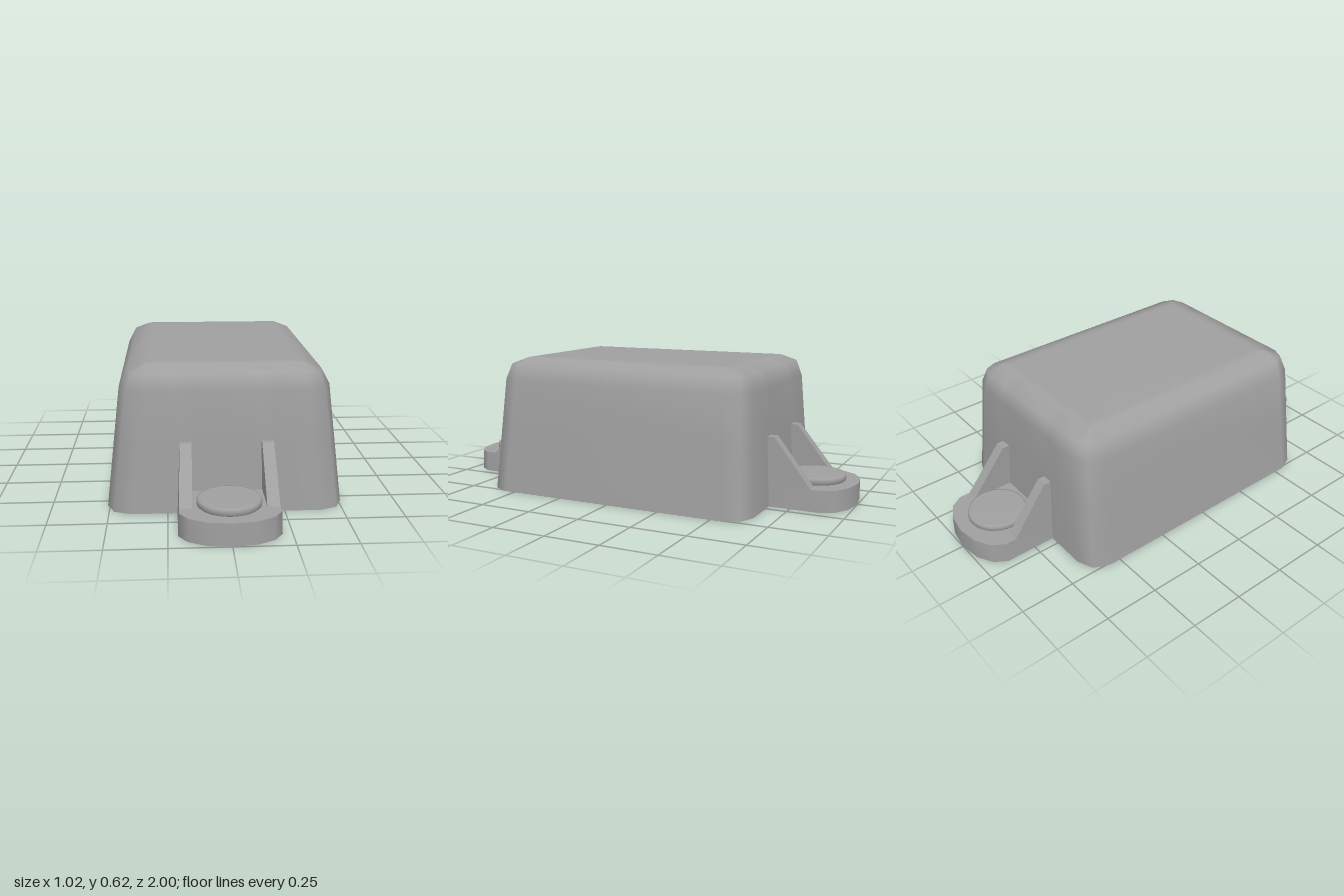
import * as THREE from 'three';
import { toCreasedNormals } from 'three/addons/utils/BufferGeometryUtils.js';

const material = new THREE.MeshStandardMaterial({ color: 0xa0a0a0, side: THREE.DoubleSide });

// Tapering half width and half depth of the cover at height y
const halfX = (y) => 0.51 - 0.114 * y;
const halfZ = (y) => 0.655 - 0.057 * y;

function mesh(name, geometry) {
  const m = new THREE.Mesh(geometry, material);
  m.name = name;
  return m;
}

// Surface through rows of points, with optional closing and open cells
function surface(rows, closed = false, skip = () => false) {
  const n = rows[0].length;
  const index = [];
  for (let i = 0; i < rows.length - 1; i++) {
    for (let j = 0; j < (closed ? n : n - 1); j++) {
      if (skip(i, j)) continue;
      const k = (j + 1) % n;
      const a = i * n + j, b = i * n + k, c = b + n, d = a + n;
      index.push(a, d, c, a, c, b);
    }
  }
  const g = new THREE.BufferGeometry();
  g.setAttribute('position', new THREE.Float32BufferAttribute(rows.flat(2), 3));
  g.setIndex(index);
  g.computeVertexNormals();
  return g;
}

// Rounded rectangle at height y; also has points at the rib edges (xo, xi)
function ring(y, hx, hz, r, xo = 0.2, xi = 0.15) {
  const pts = [];
  const corner = (sx, sz, start) => {
    for (let k = 0; k < 3; k++) {
      const a = start + (k * Math.PI) / 4;
      pts.push([sx * (hx - r) + r * Math.cos(a), y, sz * (hz - r) + r * Math.sin(a)]);
    }
  };
  corner(1, 1, 0);
  for (const x of [xo, xi, -xi, -xo]) pts.push([x, y, hz]);
  corner(-1, 1, Math.PI / 2);
  corner(-1, -1, Math.PI);
  for (const x of [-xo, -xi, xi, xo]) pts.push([x, y, -hz]);
  corner(1, -1, 1.5 * Math.PI);
  return pts;
}

// Open-bottomed cover, cut away where the hollow tabs and ribs join it
function cover() {
  const wall = [[0, 0.21], [0.097, 0.205], [0.312, 0.197], [0.525, 0.197]];
  const rows = wall.map(([y, xo]) => ring(y, halfX(y), halfZ(y), 0.105, xo));
  rows.push(ring(0.595, 0.413, 0.6, 0.075));
  rows.push(ring(0.624, 0.34, 0.52, 0.004));
  // Inset ring keeps the shading of the top flat
  rows.push(ring(0.625, 0.31, 0.49, 0.002));
  rows.push(ring(0.625, 0, 0, 0, 0, 0));
  const skip = (i, j) => {
    const c = (j % 10) - 3;
    return (i === 0 && c >= 0 && c <= 2) || (i === 1 && (c === 0 || c === 2));
  };
  return mesh('cover', surface(rows, true, skip));
}

// Hollow triangular rib: outer wall, sloping top and inner wall
function rib(s) {
  const top = [[0.312, halfZ(0.312)], [0.312, 0.67], [0.097, 0.84]];
  const base = [[0.097, halfZ(0.097)], [0.097, 0.67], [0.097, 0.84]];
  const row = (pts, xTop, xBase) =>
    pts.map(([y, z]) => [s * (y > 0.2 ? xTop : xBase), y, z]);
  const rows = [
    row(base, 0.197, 0.205), row(top, 0.197, 0.205),
    row(top, 0.147, 0.152), row(base, 0.147, 0.152),
  ];
  return mesh(s > 0 ? 'leftRib' : 'rightRib', toCreasedNormals(surface(rows), 0.5));
}

function mountingTab(name) {
  const tab = new THREE.Group();
  tab.name = name;

  // Rounded side wall
  const half = [[0.205, 0.89], [0.17, 0.945], [0.1, 0.985]];
  const nose = [...half, [0, 1], ...half.map(([x, z]) => [-x, z]).reverse()];
  const side = [0, 0.097].map((y) => {
    const k = y ? 1 : 1.02;
    const z0 = halfZ(y);
    return [[0.205 * k, y, z0], ...nose.map(([x, z]) => [x * k, y, z]), [-0.205 * k, y, z0]];
  });
  tab.add(mesh('tabWall', surface(side)));

  // Top plate, leaving the rib hollows and the screw hole open
  const z0 = halfZ(0.097);
  const outline = [[0.152, z0], [0.152, 0.84], [0.205, 0.84], ...nose,
    [-0.205, 0.84], [-0.152, 0.84], [-0.152, z0]];
  const plate = new THREE.Shape(outline.map(([x, z]) => new THREE.Vector2(x, -z)));
  plate.holes.push(new THREE.Path().absarc(0, -0.808, 0.125, 0, Math.PI * 2));
  const plateGeometry = new THREE.ShapeGeometry(plate, 16);
  plateGeometry.rotateX(-Math.PI / 2).translate(0, 0.097, 0);
  tab.add(mesh('tabTop', plateGeometry));

  // Flat round screw cap with a softly rounded rim
  const profile = [[0.125, 0.096], [0.133, 0.103], [0.134, 0.118], [0.13, 0.129],
    [0.12, 0.131], [0, 0.131]];
  const cap = new THREE.LatheGeometry(profile.map(([x, y]) => new THREE.Vector2(x, y)), 32);
  cap.translate(0, 0, 0.808);
  tab.add(mesh('screwCap', cap));

  tab.add(rib(1), rib(-1));
  return tab;
}

export function createModel() {
  const model = new THREE.Group();
  model.name = 'mountedCover';
  const back = mountingTab('backTab');
  back.rotation.y = Math.PI;
  model.add(cover(), mountingTab('frontTab'), back);
  return model;
}
